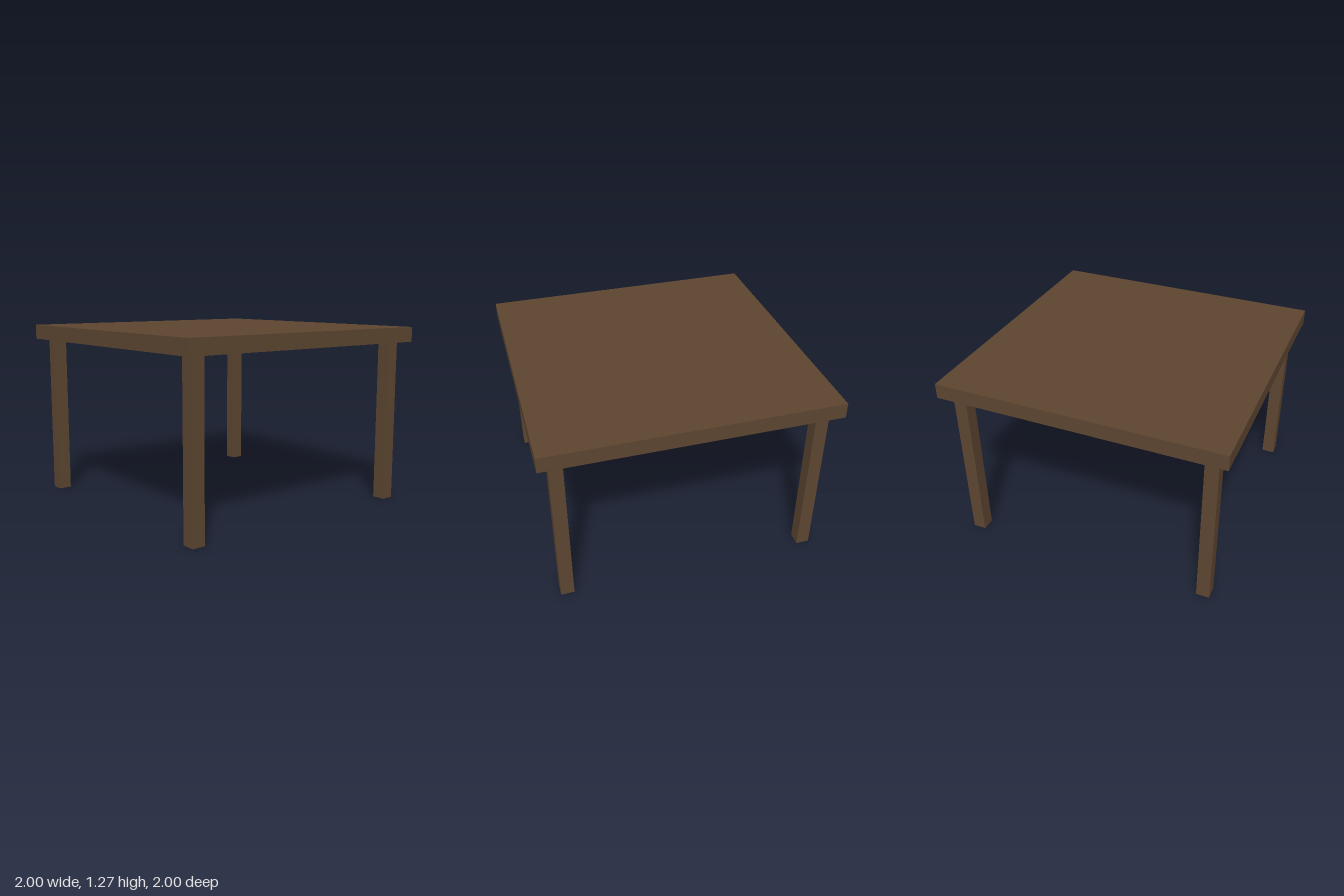
import * as THREE from 'three';

const TOP_Y = 1.275;
const TOP_THICKNESS = 0.107;
const LEG_HEIGHT = TOP_Y - TOP_THICKNESS;
const LEG_WIDTH = 0.093;
const LEG_OFFSET = 0.88;

export function createModel() {
  const table = new THREE.Group();
  table.name = 'table';
  const wood = new THREE.MeshStandardMaterial({ color: 0x5c4530 });

  // Square slab top
  const top = new THREE.Mesh(new THREE.BoxGeometry(2, TOP_THICKNESS, 2), wood);
  top.name = 'tableTop';
  top.position.y = TOP_Y - TOP_THICKNESS / 2;
  table.add(top);

  // Four square legs, set in from the corners
  const legGeometry = new THREE.BoxGeometry(LEG_WIDTH, LEG_HEIGHT, LEG_WIDTH);
  for (const [end, z] of [['front', 1], ['back', -1]]) {
    for (const [side, x] of [['Left', 1], ['Right', -1]]) {
      const leg = new THREE.Mesh(legGeometry, wood);
      leg.name = `${end}${side}Leg`;
      leg.position.set(x * LEG_OFFSET, LEG_HEIGHT / 2, z * LEG_OFFSET);
      table.add(leg);
    }
  }
  return table;
}
